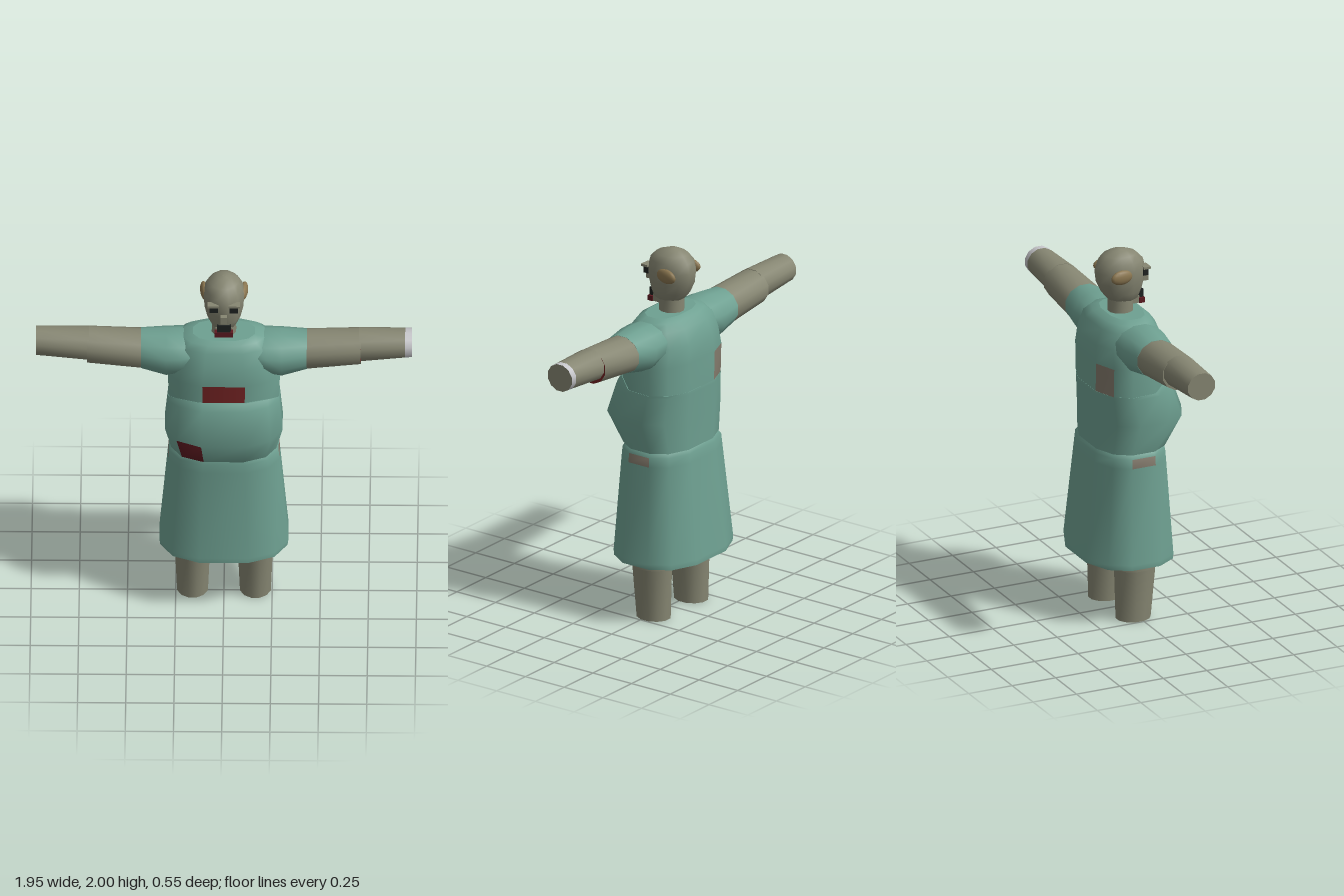
import * as THREE from 'three';

const mat = (name, color) => {
  const m = new THREE.MeshStandardMaterial({ color });
  m.name = name;
  return m;
};

// Twelve-sided cross-sections, starting at the front and turning towards +x
const BOXY = [[-.38, 1], [.38, 1], [.8, .76], [1, .33], [1, -.33], [.8, -.76],
  [.38, -1], [-.38, -1], [-.8, -.76], [-1, -.33], [-1, .33], [-.8, .76]];
const ROUND = Array.from({ length: 12 }, (_, j) => {
  const a = (j - .5) * Math.PI / 6;
  return [Math.sin(a) / Math.cos(Math.PI / 12), Math.cos(a) / Math.cos(Math.PI / 12)];
});

// Level ring: height, half width, front z, back z, middle x, rise of the front edge
const level = (section, y, w, f, b, x = 0, lift = 0) => section.map(([u, v]) =>
  new THREE.Vector3(x + u * w, y + lift * THREE.MathUtils.smoothstep(v, .2, .9), (f + b) / 2 + v * (f - b) / 2));

// Upright ring across an arm
const across = (x, y, ry, z, rz) => ROUND.map(([u, v]) => new THREE.Vector3(x, y + v * ry, z + u * rz));

// Joins rings into a smooth skin; paint(row, facet) picks the material of each facet
function loft(name, rings, materials, { paint = () => 0, start = -1, end = -1 } = {}) {
  const n = rings[0].length, pos = [], faces = materials.map(() => []);
  rings.forEach(r => r.forEach(p => pos.push(p.x, p.y, p.z)));
  for (let i = 0; i < rings.length - 1; i++) {
    for (let j = 0; j < n; j++) {
      const a = i * n + j, b = i * n + (j + 1) % n;
      faces[paint(i, j)].push(a, b, b + n, a, b + n, a + n);
    }
  }
  // Flat end caps with their own corners
  const cap = (ring, m, up) => {
    const o = pos.length / 3;
    ring.forEach(p => pos.push(p.x, p.y, p.z));
    for (let j = 1; j < n - 1; j++) faces[m].push(o, o + (up ? j : j + 1), o + (up ? j + 1 : j));
  };
  if (start >= 0) cap(rings[0], start, false);
  if (end >= 0) cap(rings[rings.length - 1], end, true);

  const g = new THREE.BufferGeometry();
  g.setAttribute('position', new THREE.Float32BufferAttribute(pos, 3));
  g.setIndex(faces.flat());
  let at = 0;
  faces.forEach((f, m) => { if (f.length) g.addGroup(at, f.length, m); at += f.length; });
  g.computeVertexNormals();
  const mesh = new THREE.Mesh(g, materials.length > 1 ? materials : materials[0]);
  mesh.name = name;
  return mesh;
}

function box(name, m, w, h, d, x, y, z) {
  const mesh = new THREE.Mesh(new THREE.BoxGeometry(w, h, d), m);
  mesh.name = name;
  mesh.position.set(x, y, z);
  return mesh;
}

export function createModel() {
  const gown = mat('gown green', 0x6ea091);
  gown.side = THREE.DoubleSide;
  const skin = mat('grey skin', 0x868672);
  const blood = mat('dried blood', 0x702222);
  const wound = mat('dark red', 0x5c1a20);
  const tear = mat('torn brown', 0x82796b);
  const ear = mat('ear tan', 0x8a7650);
  const dark = mat('near black', 0x1e2221);
  const band = mat('wrist band white', 0xc6c6ca);
  tear.side = blood.side = wound.side = THREE.DoubleSide;

  const model = new THREE.Group();
  model.name = 'patient';

  // Gown: open skirt with a tear at each hip
  model.add(loft('skirt', [
    level(BOXY, .33, .33, .218, -.272),
    level(BOXY, .36, .334, .22, -.274),
    level(BOXY, .88, .289, .184, -.219),
    level(BOXY, .93, .284, .18, -.214),
    level(BOXY, .95, .265, .175, -.203),
  ], [gown, tear], { paint: (i, j) => (i === 2 && (j === 3 || j === 9) ? 1 : 0) }));

  // Belly bulges forward, its top edge rising in front
  model.add(loft('belly', [
    level(BOXY, .95, .272, .18, -.205),
    level(BOXY, 1.115, .305, .278, -.208),
    level(BOXY, 1.26, .289, .215, -.212, 0, .035),
    level(BOXY, 1.275, .286, .185, -.211, 0, .055),
  ], [gown, wound], { paint: (i, j) => (i === 0 && j === 11 ? 1 : 0), start: 0, end: 0 }));

  // Chest with a stained front and a tear at the back
  model.add(loft('chest', [
    level(BOXY, 1.27, .284, .178, -.21),
    level(BOXY, 1.43, .292, .178, -.21),
    level(BOXY, 1.53, .265, .168, -.204),
    level(BOXY, 1.61, .25, .135, -.17),
    level(BOXY, 1.645, .21, .112, -.135),
    level(BOXY, 1.66, .16, .085, -.1),
  ], [gown, blood, tear], {
    paint: (i, j) => (i === 0 && j === 0 ? 1 : i === 0 && j === 7 ? 2 : 0), start: 0, end: 0,
  }));

  // Arms, mirrored; the left one has a wound ring and a wrist band
  for (const s of [1, -1]) {
    const left = s > 0;
    const side = left ? 'left' : 'right';
    const rings = list => {
      const r = list.map(([x, ...rest]) => across(x * s, ...rest));
      return left ? r : r.reverse();
    };
    model.add(loft(side + 'Sleeve', rings([
      [.17, 1.55, .09, -.01, .13],
      [.22, 1.54, .107, -.008, .138],
      [.3, 1.53, .119, -.008, .134],
      [.43, 1.541, .099, -.015, .11],
    ]), [gown], { start: 0, end: 0 }));
    model.add(loft(side + 'UpperArm', rings([
      [.425, 1.541, .098, -.015, .109],
      [.71, 1.562, .091, -.015, .098],
    ]), [skin, blood], { start: 0, end: left ? 1 : 0 }));
    model.add(loft(side + 'Forearm', rings([
      [.7, 1.571, .084, -.015, .092],
      [.94, 1.581, .074, -.018, .079],
      [.975, 1.582, .073, -.018, .077],
    ]), [skin, band], { paint: i => (left && i === 1 ? 1 : 0), start: 0, end: 0 }));

    // Legs
    const x = .163 * s;
    model.add(loft(side + 'Thigh', [
      level(ROUND, .285, .095, .1, -.123, x),
      level(ROUND, .9, .11, .13, -.15, x),
    ], [skin], { start: 0, end: 0 }));
    model.add(loft(side + 'LowerLeg', [
      level(ROUND, 0, .08, .07, -.112, x),
      level(ROUND, .3, .092, .098, -.12, x),
    ], [skin], { start: 0, end: 0 }));

    // Ears
    const e = new THREE.Mesh(new THREE.SphereGeometry(1, 14, 10), ear);
    e.name = side + 'Ear';
    e.scale.set(.022, .039, .065);
    e.position.set(.102 * s, 1.88, -.055);
    e.rotation.y = -.12 * s;
    model.add(e);

    // Eyes and brows
    model.add(box(side + 'Eye', dark, .045, .036, .03, .052 * s, 1.874, .096));
    model.add(box(side + 'Brow', skin, .06, .012, .04, .054 * s, 1.899, .1));
  }

  // Neck and head
  model.add(loft('neck', [
    level(ROUND, 1.62, .064, .05, -.082),
    level(ROUND, 1.78, .062, .05, -.08),
  ], [skin], { start: 0, end: 0 }));
  model.add(loft('head', [
    level(ROUND, 1.715, .05, .055, -.06),
    level(ROUND, 1.73, .067, .08, -.085),
    level(ROUND, 1.77, .086, .095, -.118),
    level(ROUND, 1.83, .1, .109, -.145),
    level(ROUND, 1.89, .105, .113, -.152),
    level(ROUND, 1.94, .096, .1, -.138),
    level(ROUND, 1.975, .073, .067, -.105),
    level(ROUND, 1.995, .036, .015, -.062),
    level(ROUND, 2, .008, -.015, -.031),
  ], [skin], { start: 0, end: 0 }));

  // Nose, gaping mouth and jaw
  model.add(box('nose', skin, .032, .042, .04, 0, 1.823, .117));
  model.add(box('mouth', dark, .072, .046, .03, 0, 1.744, .084));
  model.add(box('lowerLip', wound, .096, .028, .032, 0, 1.709, .088));
  model.add(box('jaw', skin, .084, .04, .07, 0, 1.716, .038));

  return model;
}
